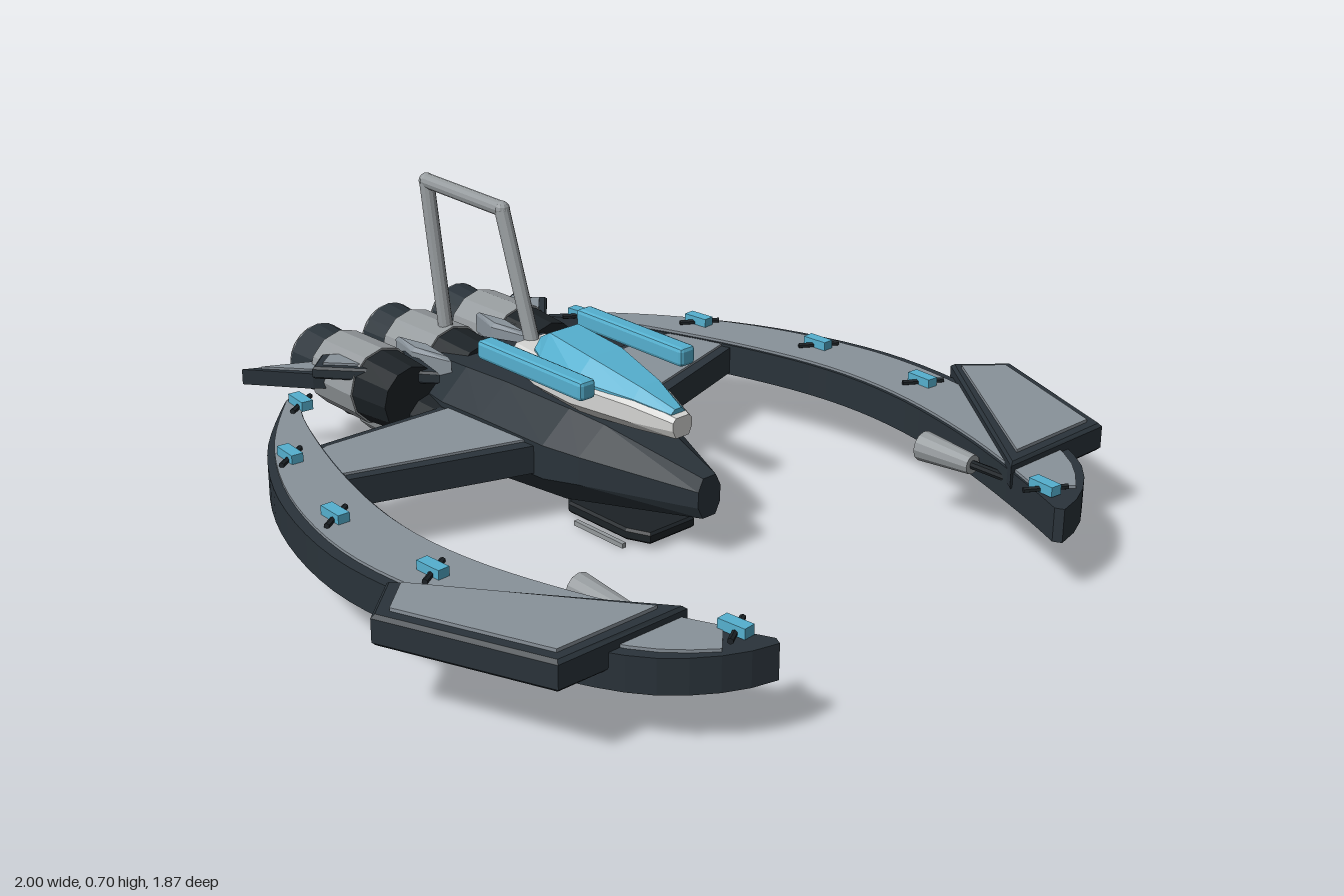
import * as THREE from 'three';
import { RoundedBoxGeometry } from 'three/addons/geometries/RoundedBoxGeometry.js';

const mat = (name, color) => Object.assign(new THREE.MeshStandardMaterial({ color, flatShading: true }), { name });

export function createModel() {
  const hull = mat('dark hull', 0x2a333a);
  const black = mat('black trim', 0x1c2226);
  const panel = mat('grey panel', 0x89929a);
  const metal = mat('light metal', 0x959a9d);
  const white = mat('white shell', 0xd6d6d4);
  const blue = mat('blue glass', 0x55b0cf);
  const root = new THREE.Group();

  const add = (name, geo, m, x = 0, y = 0, z = 0) => {
    const mesh = new THREE.Mesh(geo, m);
    mesh.name = name;
    mesh.position.set(x, y, z);
    root.add(mesh);
    return mesh;
  };

  // Horizontal plate from an [x, z] outline, between heights y0 and y1
  const plate = (name, pts, y0, y1, m, s = 1, bevel = 0) => {
    const shape = new THREE.Shape(pts.map(([x, z]) => new THREE.Vector2(x * s, -z)));
    const geo = new THREE.ExtrudeGeometry(shape, {
      depth: y1 - y0 - 2 * bevel, bevelEnabled: bevel > 0, bevelSegments: 1,
      bevelSize: bevel, bevelThickness: bevel, bevelOffset: -bevel,
    });
    geo.rotateX(-Math.PI / 2);
    return add(name, geo, m, 0, y0 + bevel, 0);
  };

  // Eight-sided loft; rows: z, top/mid/bottom half widths, four heights from the top down
  const loft = (name, rows, m) => {
    const pos = [], idx = [], n = 8;
    for (const [z, wt, wm, wb, yt, y1, y2, yb] of rows)
      for (const [x, y] of [[wb, yb], [wm, y2], [wm, y1], [wt, yt], [-wt, yt], [-wm, y1], [-wm, y2], [-wb, yb]])
        pos.push(x, y, z);
    const last = (rows.length - 1) * n;
    for (let i = 0; i < last; i += n)
      for (let j = 0; j < n; j++) {
        const a = i + j, b = i + (j + 1) % n;
        idx.push(a, a + n, b, b, a + n, b + n);
      }
    for (let j = 1; j < n - 1; j++) idx.push(0, j, j + 1, last, last + j + 1, last + j);
    const geo = new THREE.BufferGeometry();
    geo.setAttribute('position', new THREE.Float32BufferAttribute(pos, 3));
    geo.setIndex(idx);
    const flat = geo.toNonIndexed();
    flat.computeVertexNormals();
    return add(name, flat, m);
  };

  // Cylinder between two points
  const rod = (name, a, b, ra, rb, m, sides = 12) => {
    const p = new THREE.Vector3(...a), q = new THREE.Vector3(...b), d = q.clone().sub(p);
    const mesh = add(name, new THREE.CylinderGeometry(rb, ra, d.length(), sides), m);
    mesh.position.copy(p).add(q).multiplyScalar(0.5);
    mesh.quaternion.setFromUnitVectors(new THREE.Vector3(0, 1, 0), d.normalize());
    return mesh;
  };

  // Fuselage and cockpit
  loft('fuselage', [
    [0.28, 0.02, 0.035, 0.02, 0.21, 0.18, 0.14, 0.11],
    [0, 0.07, 0.15, 0.08, 0.27, 0.21, 0.14, 0.07],
    [-0.1, 0.09, 0.175, 0.1, 0.285, 0.215, 0.13, 0.055],
    [-0.32, 0.1, 0.185, 0.1, 0.29, 0.22, 0.13, 0.035],
    [-0.46, 0.11, 0.19, 0.1, 0.29, 0.22, 0.13, 0.05],
    [-0.68, 0.08, 0.14, 0.08, 0.265, 0.21, 0.13, 0.08],
  ], hull);
  loft('cockpitShell', [
    [0.19, 0.02, 0.03, 0.02, 0.33, 0.32, 0.3, 0.28],
    [0.08, 0.045, 0.065, 0.04, 0.355, 0.34, 0.3, 0.275],
    [-0.08, 0.08, 0.108, 0.07, 0.37, 0.355, 0.31, 0.275],
    [-0.22, 0.07, 0.095, 0.06, 0.375, 0.36, 0.31, 0.28],
    [-0.345, 0.045, 0.06, 0.04, 0.37, 0.35, 0.32, 0.285],
  ], white);
  loft('canopy', [
    [0.175, 0.01, 0.022, 0.022, 0.345, 0.335, 0.325, 0.32],
    [0.08, 0.03, 0.052, 0.05, 0.378, 0.352, 0.34, 0.33],
    [-0.07, 0.048, 0.095, 0.09, 0.412, 0.367, 0.36, 0.35],
    [-0.22, 0.045, 0.077, 0.075, 0.43, 0.377, 0.36, 0.35],
    [-0.265, 0.035, 0.055, 0.055, 0.405, 0.38, 0.365, 0.35],
  ], blue);

  // Tail handle
  const bar = [[0, 0.35, -0.335], [0, 0.675, -0.445], [0, 0.68, -0.74], [0, 0.27, -0.675]];
  for (let i = 0; i < 3; i++) rod('handleBar', bar[i], bar[i + 1], 0.019, 0.019, metal);
  for (const p of [bar[1], bar[2]]) add('handleCorner', new THREE.SphereGeometry(0.02, 10, 8), metal, ...p);

  // Belly sled
  plate('bellyPlate', [[-0.07, 0.16], [0.07, 0.16], [0.095, 0.1], [0.095, -0.1], [0.07, -0.13], [-0.07, -0.13], [-0.095, -0.1], [-0.095, 0.1]], 0.016, 0.045, black, 1, 0.006);

  // Engine: casing, nozzle, bright rim and glowing spoked exhaust, pointing backwards
  const engine = (x, y, r, front, end) => {
    const mid = front + (end - front) * 0.62;
    rod('engineCollar', [x, y, front + 0.12], [x, y, front], r * 0.85, r * 0.95, black, 12);
    rod('engineCasing', [x, y, front], [x, y, mid], r, r * 0.98, metal, 12);
    rod('engineNozzle', [x, y, mid], [x, y, end + 0.012], r * 0.8, r * 0.88, hull, 16);
    rod('exhaustBack', [x, y, end + 0.02], [x, y, end + 0.005], r * 0.72, r * 0.72, black, 16);
    add('nozzleRim', new THREE.TorusGeometry(r * 0.78, r * 0.1, 6, 20), metal, x, y, end + 0.01);
    rod('exhaustGlow', [x, y, end + 0.008], [x, y, end + 0.002], r * 0.5, r * 0.5, blue, 16);
    for (let i = 0; i < 8; i++) {
      const a = i * Math.PI / 4, c = Math.cos(a), k = Math.sin(a);
      rod('exhaustSpoke', [x + c * r * 0.38, y + k * r * 0.38, end + 0.003],
        [x + c * r * 0.7, y + k * r * 0.7, end + 0.003], 0.005, 0.005, black, 4);
    }
  };
  for (const x of [-0.225, 0, 0.225]) engine(x, 0.215, 0.1, -0.65, -0.935);
  add('engineBlock', new THREE.BoxGeometry(0.5, 0.12, 0.13), hull, 0, 0.19, -0.61);

  // Crescent wing curves, from the rear tip to the front tip
  const spline = (pts) => new THREE.SplineCurve(pts.map((p) => new THREE.Vector2(...p))).getSpacedPoints(32);
  const outer = spline([[0.415, -0.765], [0.48, -0.715], [0.665, -0.51], [0.8, -0.26], [0.872, 0.03], [0.86, 0.31], [0.79, 0.58], [0.69, 0.79], [0.56, 0.9], [0.45, 0.935]]);
  const inner = spline([[0.405, -0.755], [0.5, -0.59], [0.61, -0.28], [0.67, 0], [0.665, 0.25], [0.6, 0.52], [0.505, 0.77], [0.44, 0.915]]);
  const band = (a, b, from, to) => {
    const at = (i, t) => inner[i].clone().lerp(outer[i], t).toArray();
    const ids = Array.from({ length: to - from + 1 }, (_, i) => from + i);
    return [...ids.map((i) => at(i, b)), ...ids.reverse().map((i) => at(i, a))];
  };
  const clips = [[0.455, -0.675, 0.12], [0.655, -0.43, 0.1], [0.765, -0.1, 0.05], [0.77, 0.25, -0.05], [0.487, 0.85, -0.1]];

  for (const s of [1, -1]) {
    plate('crescentWing', band(0, 1, 0, 32), 0.13, 0.212, hull, s);
    plate('crescentPanel', band(0.04, 0.86, 1, 30), 0.211, 0.219, panel, s);

    // Straight wings joining body and crescent
    plate('wing', [[0.1, -0.46], [0.54, -0.472], [0.64, -0.43], [0.66, -0.27], [0.63, -0.275], [0.1, -0.105]], 0.135, 0.205, hull, s);
    plate('wingPanel', [[0.15, -0.435], [0.54, -0.448], [0.61, -0.425], [0.625, -0.3], [0.15, -0.155]], 0.204, 0.211, panel, s);

    // Armour plates at the front of the crescent
    plate('armourPlate', [[0.885, 0.245], [1, 0.345], [0.85, 0.737], [0.51, 0.737]], 0.17, 0.24, hull, s, 0.008);
    plate('armourPanel', [[0.878, 0.285], [0.962, 0.358], [0.828, 0.708], [0.565, 0.708]], 0.239, 0.248, panel, s);

    // Guns inside the crescent
    rod('gunBody', [s * 0.545, 0.18, 0.45], [s * 0.545, 0.18, 0.6], 0.037, 0.024, metal);
    rod('gunBarrel', [s * 0.545, 0.18, 0.6], [s * 0.545, 0.18, 0.74], 0.011, 0.011, black, 8);

    // Blue clips with a crossing pin
    for (const [x, z, turn] of clips) {
      add('clip', new THREE.BoxGeometry(0.03, 0.024, 0.07), blue, s * x, 0.229, z).rotation.y = s * turn;
      rod('clipPin', [s * (x - 0.045), 0.224, z - 0.025], [s * (x + 0.045), 0.224, z + 0.03], 0.007, 0.007, black, 6);
    }

    // Cockpit side beams, belly runner, lower engines
    add('sideBeam', new RoundedBoxGeometry(0.048, 0.048, 0.375, 1, 0.01), blue, s * 0.157, 0.392, -0.143);
    add('bellyRunner', new THREE.BoxGeometry(0.012, 0.012, 0.17), metal, s * 0.103, 0.006, 0.02);
    engine(s * 0.17, 0.14, 0.083, -0.57, -0.835);

    // Tail fins and swept spikes
    plate('tailFin', [[0.38, -0.73], [0.31, -0.79], [0.13, -0.66], [0.17, -0.49]], 0.25, 0.282, hull, s, 0.006);
    plate('tailFinPanel', [[0.35, -0.725], [0.305, -0.76], [0.165, -0.65], [0.185, -0.54]], 0.281, 0.288, panel, s);
    plate('tailRidge', [[0.13, -0.72], [0.1, -0.62], [0.125, -0.5], [0.155, -0.62]], 0.24, 0.305, panel, s, 0.01);
    plate('tailSpike', [[0.458, -0.925], [0.29, -0.84], [0.29, -0.74], [0.345, -0.78]], 0.2, 0.24, hull, s);
    plate('tailSpikePanel', [[0.42, -0.895], [0.3, -0.835], [0.3, -0.775], [0.34, -0.8]], 0.239, 0.246, panel, s);
  }
  return root;
}
